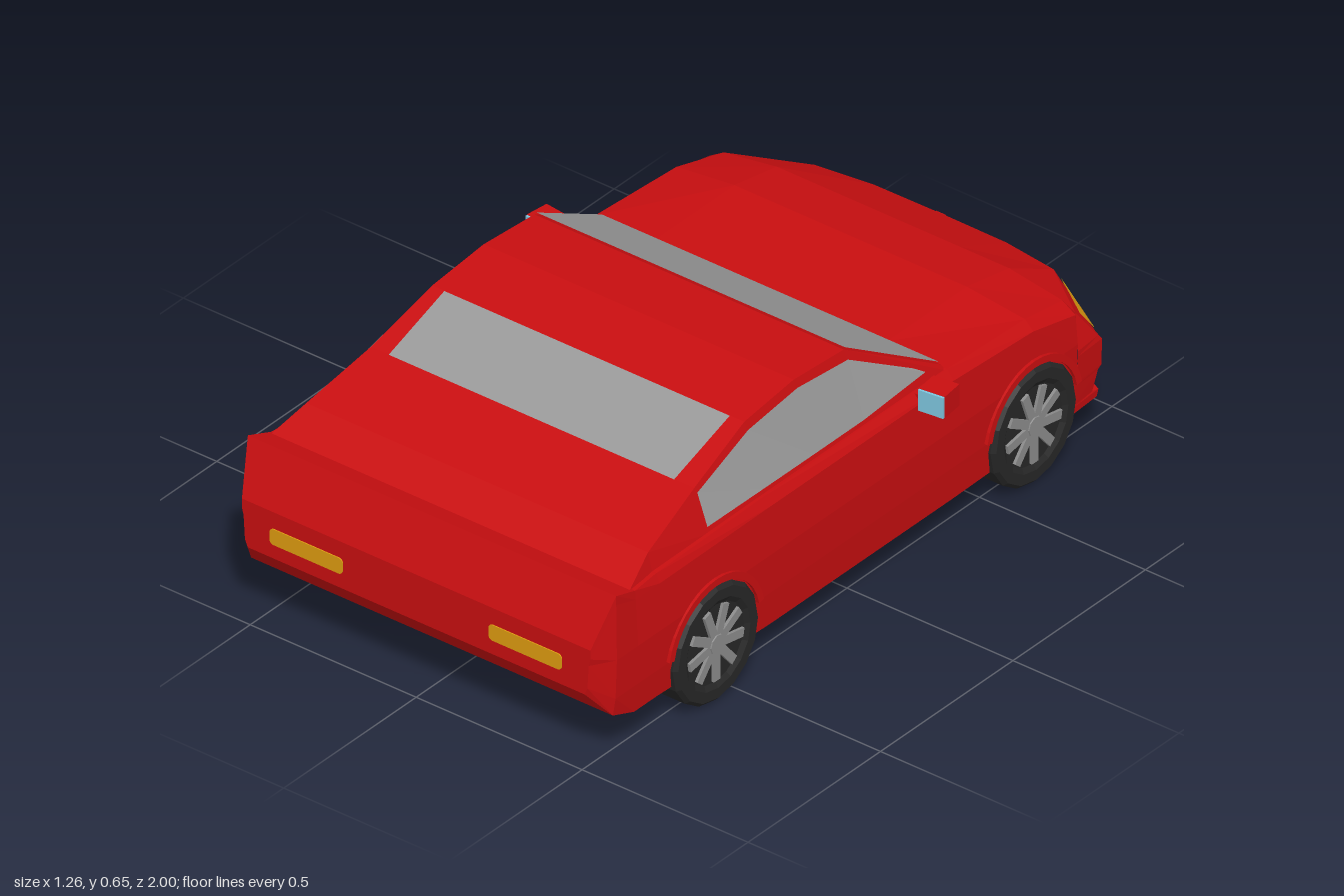
import * as THREE from 'three';

const mat = (name, color) => Object.assign(new THREE.MeshStandardMaterial({ color, flatShading: true }), { name });

// Skin over rows of points; optional end caps and wrap-around
function loft(rows, { closed = false, capStart = false, capEnd = false } = {}) {
  const v = [], n = rows[0].length;
  const tri = (a, b, c) => v.push(...a, ...b, ...c);
  for (let i = 0; i < rows.length - 1; i++)
    for (let j = 0; j < (closed ? n : n - 1); j++) {
      const k = (j + 1) % n;
      tri(rows[i][j], rows[i][k], rows[i + 1][k]);
      tri(rows[i][j], rows[i + 1][k], rows[i + 1][j]);
    }
  for (let j = 1; j < n - 1; j++) {
    const s = rows[0], e = rows[rows.length - 1];
    if (capStart) tri(s[0], s[j + 1], s[j]);
    if (capEnd) tri(e[0], e[j], e[j + 1]);
  }
  const g = new THREE.BufferGeometry();
  g.setAttribute('position', new THREE.Float32BufferAttribute(v, 3));
  g.computeVertexNormals();
  return g;
}

// Full ring from its +x half (first and last points lie on the centre line)
const mirrorRing = half => [...half, ...half.slice(1, -1).reverse().map(([x, y, z]) => [-x, y, z])];
const mirrorPath = half => [...half, ...half.slice(0, -1).reverse().map(([x, y, z]) => [-x, y, z])];
const mix = (a, b, t) => a.map((p, i) => p + (b[i] - p) * t);

// Cabin stations: z, roof half width, roof height
const CABIN = [[-0.34, 0.512, 0.46], [-0.03, 0.466, 0.642], [0.16, 0.467, 0.655], [0.35, 0.47, 0.635],
  [0.56, 0.487, 0.563], [0.77, 0.515, 0.5], [0.87, 0.54, 0.455]];
const BASE_X = 0.528, BASE_Y = 0.45;

// Point on the cabin side at a given z and height
function cabinSide(z, y) {
  let i = 0;
  while (i < CABIN.length - 2 && CABIN[i + 1][0] < z) i++;
  const a = CABIN[i], b = CABIN[i + 1];
  const [, rx, ry] = mix(a, b, (z - a[0]) / (b[0] - a[0]));
  const t = (y - BASE_Y) / (ry - BASE_Y);
  return [BASE_X + (rx - BASE_X) * t + 0.005, y + 0.001, z];
}

export function createModel() {
  const car = new THREE.Group();
  car.name = 'car';
  const red = mat('red paint', 0xc80e10);
  const glass = mat('grey glass', 0x999999);
  glass.side = THREE.DoubleSide;
  const amber = mat('amber lamp', 0xdd9a10);
  amber.side = THREE.DoubleSide;
  const rubber = mat('black rubber', 0x262626);
  rubber.side = THREE.DoubleSide;
  const metal = mat('wheel metal', 0x8a8a8a);
  const mirrorBlue = mat('mirror blue', 0x7cc4dc);
  const add = (name, geo, m, parent = car) => {
    const mesh = new THREE.Mesh(geo, m);
    mesh.name = name;
    parent.add(mesh);
    return mesh;
  };

  // Main body: z, floor y, waist x, shoulder x, shoulder y, centre y
  const body = [[-0.8, 0.1, 0.557, 0.51, 0.405, 0.43], [-0.64, 0.1, 0.557, 0.525, 0.44, 0.46],
    [-0.34, 0.095, 0.557, 0.53, 0.455, 0.46], [0.35, 0.095, 0.557, 0.535, 0.455, 0.45],
    [0.77, 0.11, 0.557, 0.54, 0.452, 0.45], [0.86, 0.11, 0.557, 0.548, 0.452, 0.452],
    [0.94, 0.14, 0.557, 0.555, 0.48, 0.48], [1.0, 0.215, 0.52, 0.525, 0.345, 0.345]];
  add('body', loft(body.map(([z, f, w, sx, sy, cy]) => mirrorRing([
    [0, f, z], [w - 0.012, f, z], [w - 0.004, Math.max(0.19, f + 0.02), z], [w, 0.3, z],
    [Math.max(sx, w - 0.007), sy - 0.025, z], [sx, sy, z], [0.35, cy, z], [0, cy, z]])),
  { closed: true, capStart: true, capEnd: true }), red);

  // Nose: stacked plan outlines with recessed intake and grille bands
  const plan = (y, w, inset) => mirrorPath([[w, y, -0.8], [w - 0.005, y, -0.9 + inset * 0.6],
    [0.37, y, -0.985 + inset], [0.2, y, -0.995 + inset], [0, y, -0.997 + inset]]);
  const shelf = [[0.557, 0.28, -0.8], [0.55, 0.28, -0.885], [0.38, 0.28, -0.962], [0.2, 0.28, -0.955], [0, 0.28, -0.955]];
  const hoodEdge = [[0.55, 0.38, -0.8], [0.53, 0.365, -0.825], [0.36, 0.352, -0.955], [0.2, 0.35, -0.978], [0, 0.35, -0.98]];
  const hoodBack = [[0.55, 0.382, -0.8], [0.51, 0.405, -0.8], [0.35, 0.43, -0.8], [0.2, 0.43, -0.8], [0, 0.43, -0.8]];
  add('nose', loft([plan(0.1, 0.545, 0.012), plan(0.12, 0.547, 0.006), plan(0.125, 0.547, 0.045),
    plan(0.18, 0.552, 0.02), plan(0.19, 0.553, 0), plan(0.265, 0.557, 0.004),
    ...[shelf, hoodEdge, hoodBack].map(mirrorPath)], { capStart: true }), red);
  add('grilleBar', new THREE.BoxGeometry(0.03, 0.08, 0.04), red).position.set(0, 0.31, -0.962);
  for (const x of [-0.3, 0.3])
    add('intakeBar', new THREE.BoxGeometry(0.03, 0.075, 0.04), red).position.set(x, 0.15, -0.965);

  // Cabin with fastback tail
  add('cabin', loft(CABIN.map(([z, x, y]) => mirrorRing([[0, 0.42, z], [BASE_X, BASE_Y, z], [x, y, z], [0, y, z]])),
    { closed: true, capStart: true, capEnd: true }), red);

  // Windscreen and rear window
  const pane = (z0, y0, x0, z1, y1, x1) => loft([[[-x0, y0, z0], [x0, y0, z0]], [[-x1, y1, z1], [x1, y1, z1]]]);
  add('windscreen', pane(-0.337, 0.468, 0.508, -0.036, 0.645, 0.464), glass);
  add('rearWindow', pane(0.565, 0.566, 0.43, 0.355, 0.638, 0.43), glass);

  // Side windows, headlamps, mirrors, tail lamps
  const windowTops = [[-0.27, 0.482], [-0.03, 0.618], [0.16, 0.635], [0.35, 0.615], [0.56, 0.552]];
  for (const s of [1, -1]) {
    const flip = p => [p[0] * s, p[1], p[2]];
    const low = windowTops.map(([z]) => flip(cabinSide(z, z < -0.1 ? 0.476 : 0.468)));
    const top = windowTops.map(([z, y]) => flip(cabinSide(z, y)));
    add('sideWindow', loft([low, top]), glass);

    // Patch of the lamp face between bumper shelf and hood edge
    const lamp = (u0, u1, v0, v1, lift) => loft([v0, v1].map(v => [u0, u1].map(u => {
      const p = mix(mix(shelf[1], shelf[2], u), mix(hoodEdge[1], hoodEdge[2], u), v);
      return [(p[0] + lift * 0.5) * s, p[1] + lift * 0.4, p[2] - lift];
    })));
    add('headlampHousing', lamp(0.0, 0.9, 0.06, 0.3, 0.004), rubber);
    add('headlamp', lamp(0.0, 0.82, 0.26, 0.92, 0.006), amber);

    const mirror = new THREE.Group();
    mirror.name = 'doorMirror';
    mirror.position.set(0.59 * s, 0.455, -0.235);
    mirror.rotation.y = 0.12 * s;
    add('mirrorShell', new THREE.BoxGeometry(0.072, 0.06, 0.065), red, mirror);
    add('mirrorGlass', new THREE.BoxGeometry(0.07, 0.058, 0.008), mirrorBlue, mirror).position.z = 0.035;
    add('mirrorArm', new THREE.BoxGeometry(0.05, 0.025, 0.03), red, mirror).position.set(-0.045 * s, -0.015, 0);
    car.add(mirror);

    const r = 0.012, hw = 0.11, hh = 0.022;
    const oval = new THREE.Shape();
    oval.absarc(hw - r, hh - r, r, 0, Math.PI / 2);
    oval.absarc(-hw + r, hh - r, r, Math.PI / 2, Math.PI);
    oval.absarc(-hw + r, -hh + r, r, Math.PI, Math.PI * 1.5);
    oval.absarc(hw - r, -hh + r, r, Math.PI * 1.5, Math.PI * 2);
    add('tailLamp', new THREE.ExtrudeGeometry(oval, { depth: 0.004, bevelEnabled: false, curveSegments: 3 }), amber)
      .position.set(0.33 * s, 0.277, 0.999);
  }

  // Raised panel under the floor
  add('floorPanel', new THREE.BoxGeometry(0.44, 0.02, 0.73), red).position.set(0, 0.096, 0.035);

  // Wheels and arch lips
  const tyreProfile = [[0.108, 0.055], [0.122, 0.064], [0.15, 0.064], [0.16, 0.054], [0.16, -0.054], [0.15, -0.062], [0, -0.062]]
    .map(([r, h]) => new THREE.Vector2(r, h)).reverse();
  const lip = new THREE.Shape();
  lip.absarc(0, 0, 0.182, 0.2, Math.PI - 0.2);
  lip.absarc(0, 0, 0.163, Math.PI - 0.2, 0.2, true);
  for (const s of [1, -1]) for (const z of [0.57, -0.63]) {
    const wheel = new THREE.Group();
    wheel.name = z > 0 ? 'rearWheel' : 'frontWheel';
    wheel.position.set(0.503 * s, 0.16, z);
    wheel.rotation.z = -s * Math.PI / 2;
    add('tyre', new THREE.LatheGeometry(tyreProfile, 16), rubber, wheel);
    add('wheelDish', new THREE.CylinderGeometry(0.112, 0.112, 0.02, 16), rubber, wheel).position.y = 0.043;
    add('hub', new THREE.CylinderGeometry(0.026, 0.03, 0.014, 9), metal, wheel).position.y = 0.057;
    for (let i = 0; i < 9; i++) {
      const spoke = new THREE.Group();
      spoke.rotation.y = i * Math.PI * 2 / 9;
      add('spoke', new THREE.BoxGeometry(0.085, 0.01, 0.024), metal, spoke).position.set(0.06, 0.056, 0);
      wheel.add(spoke);
    }
    car.add(wheel);
    const arch = add('wheelArch', new THREE.ExtrudeGeometry(lip, { depth: 0.014, bevelEnabled: false, curveSegments: 8 }), red);
    arch.rotation.y = s * Math.PI / 2;
    arch.position.set(0.549 * s, 0.16, z);
  }
  return car;
}
